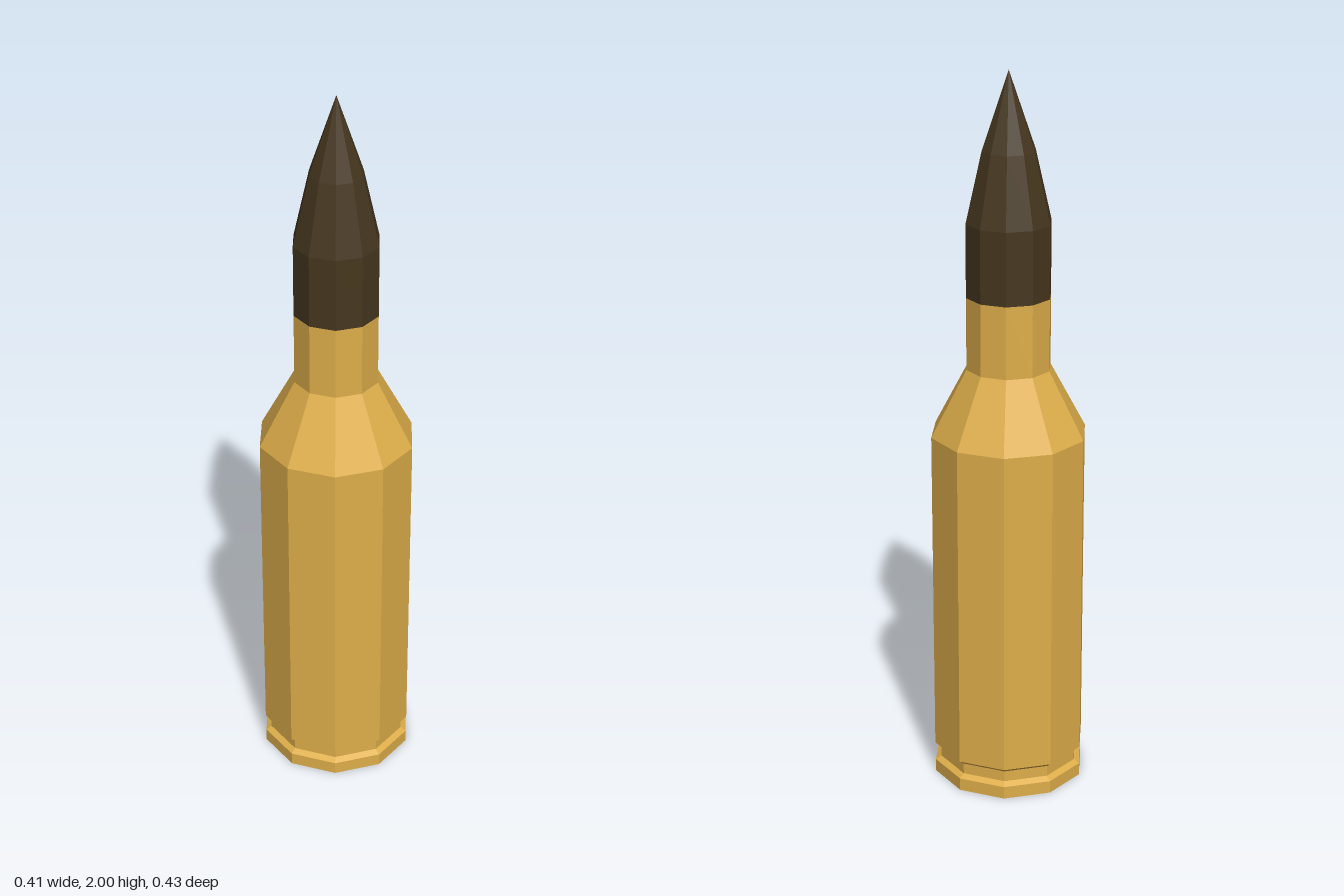
import * as THREE from 'three';

const SIDES = 10;

// Faceted solid of revolution from [radius, height] pairs, bottom to top
function turned(name, profile, material) {
  const points = profile.map(([r, y]) => new THREE.Vector2(r, y));
  const mesh = new THREE.Mesh(new THREE.LatheGeometry(points, SIDES), material);
  mesh.name = name;
  return mesh;
}

export function createModel() {
  const group = new THREE.Group();
  group.name = 'cartridge';
  const brass = new THREE.MeshStandardMaterial({ color: 0xdeae4a, flatShading: true });
  const dark = new THREE.MeshStandardMaterial({ color: 0x46371f, flatShading: true });

  // Base rim and extractor groove
  group.add(turned('rim', [[0, 0], [0.215, 0], [0.215, 0.036], [0.199, 0.046]], brass));
  group.add(turned('extractorGroove', [[0.199, 0.046], [0.199, 0.077], [0.216, 0.09]], brass));

  // Straight body, sloping shoulder and narrow neck
  group.add(turned('caseBody', [[0.216, 0.09], [0.216, 1.015]], brass));
  group.add(turned('shoulder', [[0.216, 1.015], [0.117, 1.2]], brass));
  group.add(turned('neck', [[0.117, 1.2], [0.117, 1.4]], brass));

  // Pointed tip
  group.add(turned('bullet', [[0.117, 1.4], [0.117, 1.6], [0.073, 1.79], [0, 2]], dark));

  return group;
}
